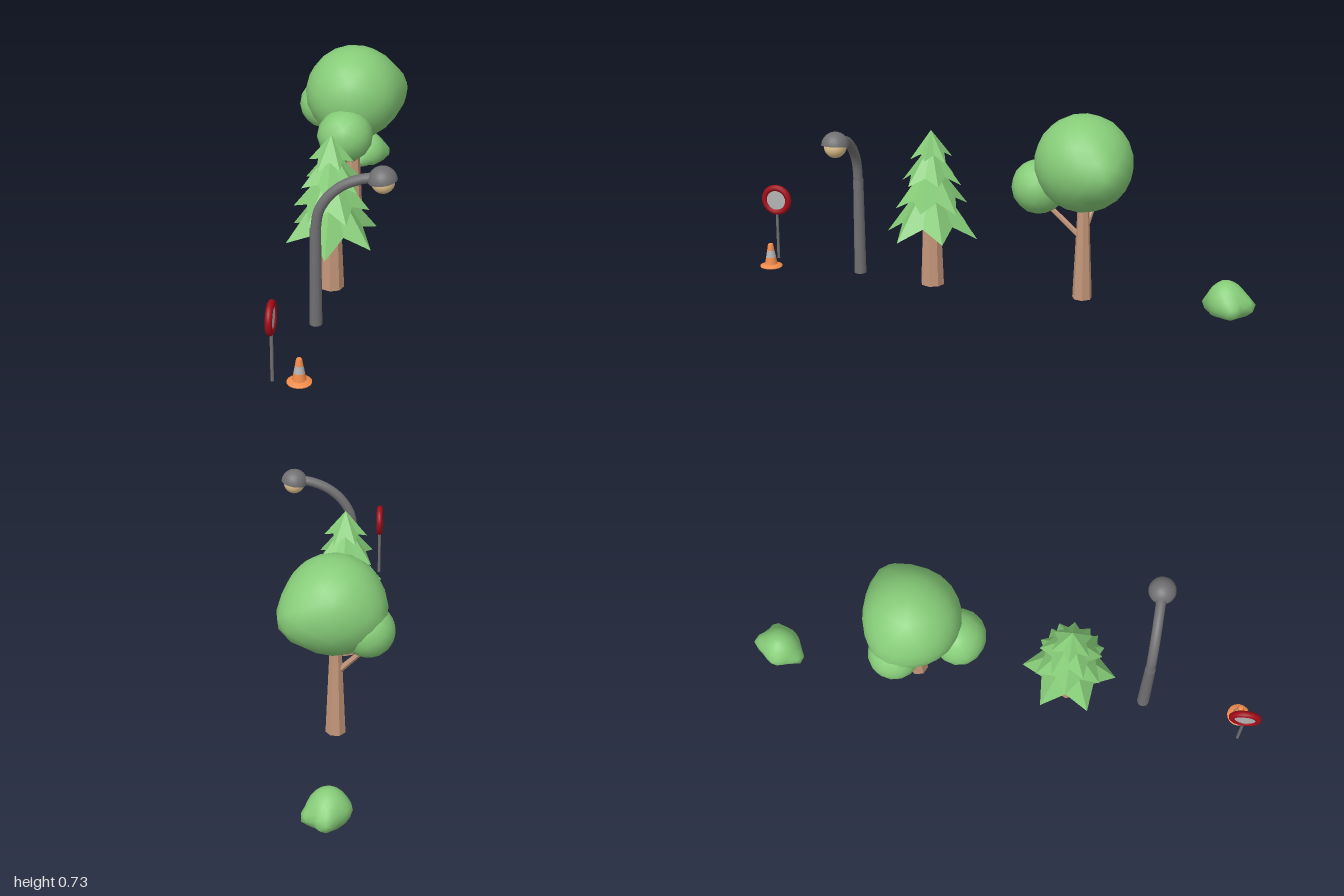
import * as THREE from 'three';
import { mergeVertices } from 'three/addons/utils/BufferGeometryUtils.js';

const mat = (color, extra = {}) => new THREE.MeshStandardMaterial({ color, ...extra });
const LEAF = mat(0x86cc78), BARK = mat(0xc4967a, { flatShading: true });
const METAL = mat(0x707072), RED = mat(0xa00c18), GREY = mat(0xb4b4b4);
const ORANGE = mat(0xf28c4c), BULB = mat(0xe2c48e);
const NEEDLES = mat(0x86cc78, { side: THREE.DoubleSide, flatShading: true });
const V = (x, y, z) => new THREE.Vector3(x, y, z);

function add(parent, name, geometry, material, x = 0, y = 0, z = 0) {
  const mesh = new THREE.Mesh(geometry, material);
  mesh.name = name;
  mesh.position.set(x, y, z);
  parent.add(mesh);
  return mesh;
}

function group(parent, name, x, z) {
  const g = new THREE.Group();
  g.name = name;
  g.position.set(x, 0, z);
  parent.add(g);
  return g;
}

// Tapered post between two points
function post(parent, name, a, b, r0, r1, sides, material) {
  const mesh = add(parent, name, new THREE.CylinderGeometry(r1, r0, a.distanceTo(b), sides), material);
  mesh.position.copy(a).lerp(b, 0.5);
  mesh.quaternion.setFromUnitVectors(V(0, 1, 0), b.clone().sub(a).normalize());
  return mesh;
}

// Soft foliage: a faceted ball with rounded swellings [x, y, z, height, tightness]
function blob(radius, swellings, floor = -Infinity, detail = 3) {
  let geo = new THREE.IcosahedronGeometry(1, detail);
  geo.deleteAttribute('normal');
  geo.deleteAttribute('uv');
  geo = mergeVertices(geo);
  const p = geo.attributes.position, d = V(0, 0, 0);
  for (let i = 0; i < p.count; i++) {
    d.fromBufferAttribute(p, i).normalize();
    let r = radius;
    for (const [x, y, z, h, k] of swellings) {
      r += h * Math.exp(-k * (1 - d.dot(V(x, y, z).normalize())));
    }
    d.multiplyScalar(r);
    p.setXYZ(i, d.x, Math.max(d.y, floor), d.z);
  }
  geo.computeVertexNormals();
  return geo;
}

// Conical skirt of branches with a zigzag hem
function skirt(topY, tipY, notchY, tipR, notchR, turn) {
  const n = 6, pos = [], idx = [];
  pos.push(0, topY, 0);
  for (let i = 0; i < n * 2; i++) {
    const a = turn + i * Math.PI / n, tip = i % 2 === 0;
    const r = tip ? tipR : notchR;
    pos.push(Math.cos(a) * r, (tip ? tipY : notchY) + (tip ? 0.01 * Math.sin(i * 2.1) : 0), Math.sin(a) * r);
  }
  for (let i = 0; i < n * 2; i++) idx.push(0, 1 + (i + 1) % (n * 2), 1 + i);
  const geo = new THREE.BufferGeometry();
  geo.setAttribute('position', new THREE.Float32BufferAttribute(pos, 3));
  geo.setIndex(idx);
  geo.computeVertexNormals();
  return geo;
}

function buildSign(root) {
  const g = group(root, 'roadSign', -0.135, 0.938);
  post(g, 'signPole', V(0, 0.01, 0), V(0, 0.2, 0), 0.006, 0.006, 8, METAL);
  add(g, 'signRim', new THREE.TorusGeometry(0.0495, 0.0128, 10, 28), RED, 0, 0.255, 0).rotation.y = Math.PI / 2;
  add(g, 'signFace', new THREE.CylinderGeometry(0.046, 0.046, 0.014, 28), GREY, 0, 0.255, 0).rotation.z = Math.PI / 2;
}

function buildCone(root) {
  const g = group(root, 'trafficCone', -0.043, 0.932);
  const P = (r, y) => new THREE.Vector2(r, y);
  const lathe = (pts) => new THREE.LatheGeometry(pts, 16);
  add(g, 'coneBase', lathe([P(0, 0.008), P(0.044, 0.008), P(0.044, 0.012), P(0.026, 0.02), P(0, 0.02)]), ORANGE);
  add(g, 'coneLower', lathe([P(0.025, 0.018), P(0.0195, 0.048)]), ORANGE);
  add(g, 'coneBand', lathe([P(0.0195, 0.048), P(0.0145, 0.075)]), GREY);
  add(g, 'coneTop', lathe([P(0.0145, 0.075), P(0.0105, 0.099), P(0.008, 0.102), P(0, 0.102)]), ORANGE);
}

function buildLamp(root) {
  const g = group(root, 'streetLamp', 0, 0.556);
  post(g, 'lampPost', V(-0.044, 0.02, 0), V(-0.043, 0.4, 0), 0.0235, 0.02, 12, METAL);
  const path = new THREE.CatmullRomCurve3([
    V(-0.043, 0.395, 0), V(-0.031, 0.469, 0), V(0.004, 0.529, 0),
    V(0.056, 0.575, 0), V(0.119, 0.602, 0), V(0.17, 0.611, 0)]);
  add(g, 'lampArm', new THREE.TubeGeometry(path, 20, 0.0185, 12), METAL);
  // Tilted shade with a glowing ball below
  const head = new THREE.Group();
  head.name = 'lampHead';
  head.position.set(0.192, 0.601, 0);
  head.rotation.z = 0.15;
  g.add(head);
  add(head, 'lampShade', new THREE.SphereGeometry(0.052, 20, 8, 0, Math.PI * 2, 0, Math.PI / 2), METAL);
  add(head, 'shadeUnderside', new THREE.CircleGeometry(0.052, 20), METAL).rotation.x = Math.PI / 2;
  add(head, 'lampBulb', new THREE.SphereGeometry(0.042, 20, 14), BULB, 0, -0.004, 0);
}

function buildPine(root) {
  const g = group(root, 'pineTree', -0.03, 0.255);
  post(g, 'pineTrunk', V(0, 0.01, 0), V(0, 0.32, 0), 0.046, 0.034, 8, BARK);
  // top, tip height, notch height, tip radius, notch radius
  const tiers = [
    [0.46, 0.215, 0.265, 0.18, 0.115],
    [0.515, 0.325, 0.365, 0.14, 0.095],
    [0.575, 0.425, 0.455, 0.118, 0.078],
    [0.625, 0.515, 0.54, 0.082, 0.052]];
  tiers.forEach((t, i) => {
    add(g, 'pineTier' + (i + 1), skirt(...t, Math.PI / 6 + (i % 2) * Math.PI / 6), NEEDLES);
  });
}

function buildBroadTree(root) {
  const g = group(root, 'leafyTree', -0.03, -0.338);
  post(g, 'treeTrunk', V(0, 0.012, 0), V(0, 0.42, 0), 0.038, 0.02, 7, BARK);
  post(g, 'frontBranch', V(0, 0.245, 0), V(0, 0.4, 0.17), 0.012, 0.009, 6, BARK);
  post(g, 'sideBranch', V(0, 0.26, 0), V(-0.135, 0.41, -0.03), 0.012, 0.009, 6, BARK);
  add(g, 'crown', blob(0.184, [
    [-0.13, -0.03, -0.06, 0.02, 8], [0.16, -0.02, -0.12, 0.046, 9]]), LEAF, 0.005, 0.545, 0);
  add(g, 'frontFoliage', blob(0.104, [[-0.1, 0, 0.02, 0.008, 5]], -Infinity, 2), LEAF, -0.005, 0.437, 0.172);
  add(g, 'sideFoliage', blob(0.098, [], -Infinity, 2), LEAF, -0.119, 0.47, -0.05);
}

function buildBush(root) {
  const g = group(root, 'bush', -0.04, -0.885);
  add(g, 'bushLeaves', blob(0.076, [
    [0.09, -0.02, -0.04, 0.028, 14], [-0.035, -0.025, 0.08, 0.032, 14],
    [0.01, -0.01, -0.1, 0.036, 12], [-0.08, 0.01, -0.01, 0.01, 14],
    [0, 1, 0.1, 0.008, 6]], -0.046), LEAF, 0, 0.048, 0);
}

export function createModel() {
  const root = new THREE.Group();
  root.name = 'streetsideProps';
  buildSign(root);
  buildCone(root);
  buildLamp(root);
  buildPine(root);
  buildBroadTree(root);
  buildBush(root);
  return root;
}
